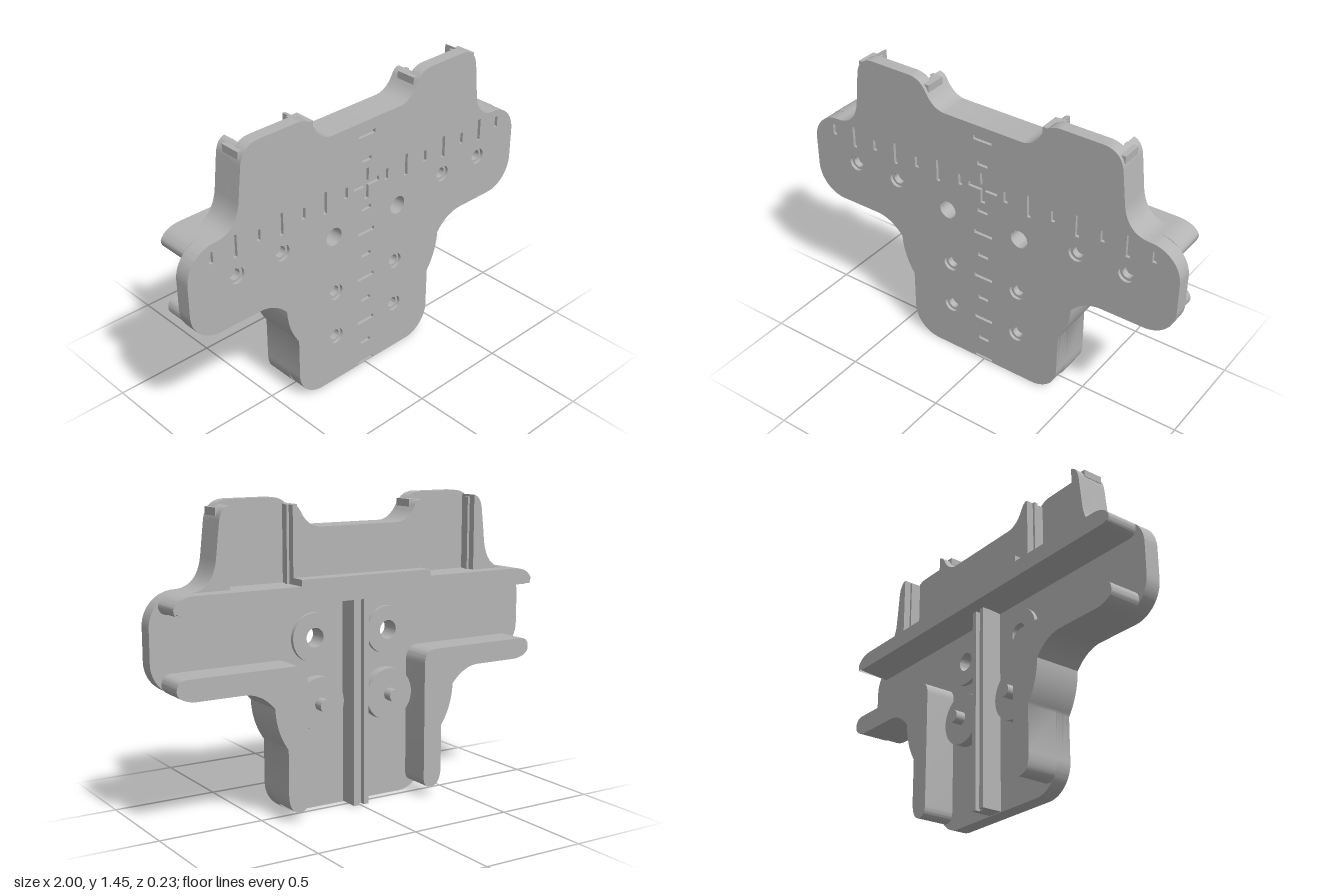
import * as THREE from 'three';
import { toCreasedNormals } from 'three/addons/utils/BufferGeometryUtils.js';

const grey = new THREE.MeshStandardMaterial({ color: 0xb4b4b4 });
grey.name = 'satin grey';

export function createModel() {
  const model = new THREE.Group();
  model.name = 'mountingPlate';

  const add = (name, geometry) => {
    const mesh = new THREE.Mesh(geometry, grey);
    mesh.name = name;
    model.add(mesh);
    return mesh;
  };
  const box = (name, x0, x1, y0, y1, z0, z1) =>
    add(name, new THREE.BoxGeometry(Math.abs(x1 - x0), y1 - y0, z1 - z0))
      .position.set((x0 + x1) / 2, (y0 + y1) / 2, (z0 + z1) / 2);
  // Extrudes an outline between two depths
  const slab = (name, points, z0, z1, holes = []) => {
    const shape = new THREE.Shape(points);
    shape.holes = holes;
    const g = new THREE.ExtrudeGeometry(shape, { depth: z1 - z0, bevelEnabled: false, curveSegments: 16 });
    g.translate(0, 0, z0);
    return add(name, toCreasedNormals(g, 0.6));
  };
  // Path steps: two numbers draw a line, four a curve
  const trace = (steps) => {
    const p = new THREE.Path();
    steps.forEach((s, i) => {
      if (i === 0) p.moveTo(...s);
      else if (s.length === 2) p.lineTo(...s);
      else if (s.length === 4) p.quadraticCurveTo(...s);
      else p.absarc(...s);
    });
    return p.getPoints(12);
  };
  const flip = (pts) => pts.map((p) => new THREE.Vector2(-p.x, p.y)).reverse();
  const mirrored = (pts) => [...pts, ...flip(pts).filter((p) => Math.abs(p.x) > 1e-6)];
  const pair = (name, pts, z0, z1) => {
    slab(name + 'Left', pts, z0, z1);
    slab(name + 'Right', flip(pts), z0, z1);
  };
  const circle = (x, y, r) => new THREE.Path().absarc(x, y, r, 0, Math.PI * 2, true);
  const slot = (x, y, w, h) => new THREE.Path([
    [x - w / 2, y - h / 2], [x - w / 2, y + h / 2], [x + w / 2, y + h / 2], [x + w / 2, y - h / 2],
  ].map((p) => new THREE.Vector2(...p))).closePath();

  // Half of the plate outline, from bottom centre to top centre
  const half = trace([
    [0, 0], [0.28, 0], [0.28, 0.14, 0.14, -Math.PI / 2, 0, false],
    [0.42, 0.345], [0.48, 0.43, 0.485, 0.54], [0.55, 0.62, 0.64, 0.62],
    [0.85, 0.62], [0.85, 0.77, 0.15, -Math.PI / 2, 0, false],
    [1, 0.92], [0.85, 0.92, 0.15, 0, Math.PI / 2, false],
    [0.74, 1.07, 0.72, 1.2], [0.702, 1.36], [0.69, 1.45, 0.6, 1.45],
    [0.4, 1.45], [0.335, 1.45, 0.305, 1.39], [0.27, 1.325, 0.21, 1.32], [0, 1.32],
  ]);
  const outline = mirrored(half);

  // Through holes, blind stepped holes and engraved scale marks
  const through = [];
  const wide = [];
  const narrow = [];
  const marks = [];
  for (const s of [-1, 1]) {
    through.push(circle(s * 0.2, 0.81, 0.045));
    for (const [x, y] of [[0.75, 0.86], [0.5, 0.86], [0.19, 0.505], [0.19, 0.255]]) {
      wide.push(circle(s * x, y, 0.04));
      narrow.push(circle(s * x, y, 0.027));
    }
    for (let i = 1; i <= 7; i++) marks.push(slot(s * i * 0.125, 1.005, 0.02, i % 2 ? 0.055 : 0.11));
  }
  for (let i = 0; i <= 10; i++) {
    if (i !== 8) marks.push(slot(0, i ? 0.005 + i * 0.125 : 0.011, i % 2 ? 0.056 : 0.1, i ? 0.02 : 0.012));
  }
  const a = 0.078, b = 0.012;
  marks.push(new THREE.Path([
    [-a, -b], [-b, -b], [-b, -a], [b, -a], [b, -b], [a, -b], [a, b], [b, b], [b, a], [-b, a], [-b, b], [-a, b],
  ].map(([x, y]) => new THREE.Vector2(x, 1.005 + y))).closePath());

  // Plate in layers
  slab('frontFace', outline, 0.1, 0.115, [...through, ...wide, ...marks]);
  slab('plateCore', outline, 0.07, 0.1, [...through, ...narrow]);
  slab('plateBacking', outline, 0.055, 0.07, through);
  slab('plateBackFace', mirrored(half.filter((p) => p.y < 1.0701)), 0.04, 0.055, through);

  // Thick upper section, leaving a pocket behind each ear
  const middle = trace([[0, 1.06], [0.345, 1.06], [0.345, 1.42], [0.32, 1.42, 0.305, 1.39],
    [0.27, 1.325, 0.21, 1.32], [0, 1.32]]);
  slab('upperCentreBlock', mirrored(middle), -0.04, 0.055);
  pair('earOuterWall', trace([[0.655, 1.06], [0.85, 1.07], [0.74, 1.07, 0.72, 1.2],
    [0.702, 1.36], [0.695, 1.42, 0.655, 1.43]]), -0.04, 0.055);

  // Cross shelf with a sloping underside
  const shelf = slab('crossShelf', mirrored(trace([[0, 0.975], [0.91, 0.975],
    [0.955, 0.975, 0.955, 1.02], [0.93, 1.07, 0.85, 1.07], [0, 1.07]])), -0.115, 0.04);
  const pos = shelf.geometry.attributes.position;
  for (let i = 0; i < pos.count; i++) {
    if (pos.getY(i) < 0.99 && pos.getZ(i) < 0) pos.setY(i, pos.getY(i) + 0.015);
  }
  box('shelfLip', -0.345, 0.345, 1.07, 1.1, -0.115, -0.04);

  // Walls running down the legs and out under the wings
  pair('legAndWingWall', trace([
    [0.32, 0.095], [0.32, 0.045, 0.365, 0.045], [0.42, 0.05, 0.42, 0.14],
    [0.42, 0.345], [0.48, 0.43, 0.485, 0.54], [0.55, 0.62, 0.64, 0.62],
    [0.87, 0.62], [0.945, 0.63, 0.95, 0.67], [0.95, 0.72, 0.9, 0.72],
    [0.39, 0.72], [0.32, 0.72, 0.32, 0.65],
  ]), -0.115, 0.04);

  // Grooved central spine
  box('spineBase', -0.04, 0.04, 0.003, 0.98, -0.035, 0.04);
  for (const s of [-1, 1]) box('spineRib', s * 0.014, s * 0.04, 0.003, 0.98, -0.06, -0.035);

  for (const s of [-1, 1]) {
    // Ear clips and the rails inside the pockets
    box('outerClip', s * 0.655, s * 0.7, 1.385, 1.42, 0, 0.1);
    box('innerClip', s * 0.3, s * 0.345, 1.385, 1.42, 0, 0.1);
    box('outerRail', s * 0.643, s * 0.655, 1.07, 1.42, -0.005, 0.015);
    box('innerRail', s * 0.345, s * 0.357, 1.07, 1.42, -0.005, 0.015);

    // Collar, disc and pin on the back
    const ring = new THREE.Path().absarc(s * 0.2, 0.81, 0.115, 0, Math.PI * 2, false).getPoints(32);
    slab('holeCollar', ring, 0.02, 0.04, [circle(s * 0.2, 0.81, 0.045)]);
    for (const [name, r, z0, z1] of [['backDisc', 0.125, -0.01, 0.04], ['backPin', 0.03, -0.06, -0.01]]) {
      const g = new THREE.CylinderGeometry(r, r, z1 - z0, 40).rotateX(Math.PI / 2);
      add(name, g).position.set(s * 0.19, 0.505, (z0 + z1) / 2);
    }
  }
  return model;
}
